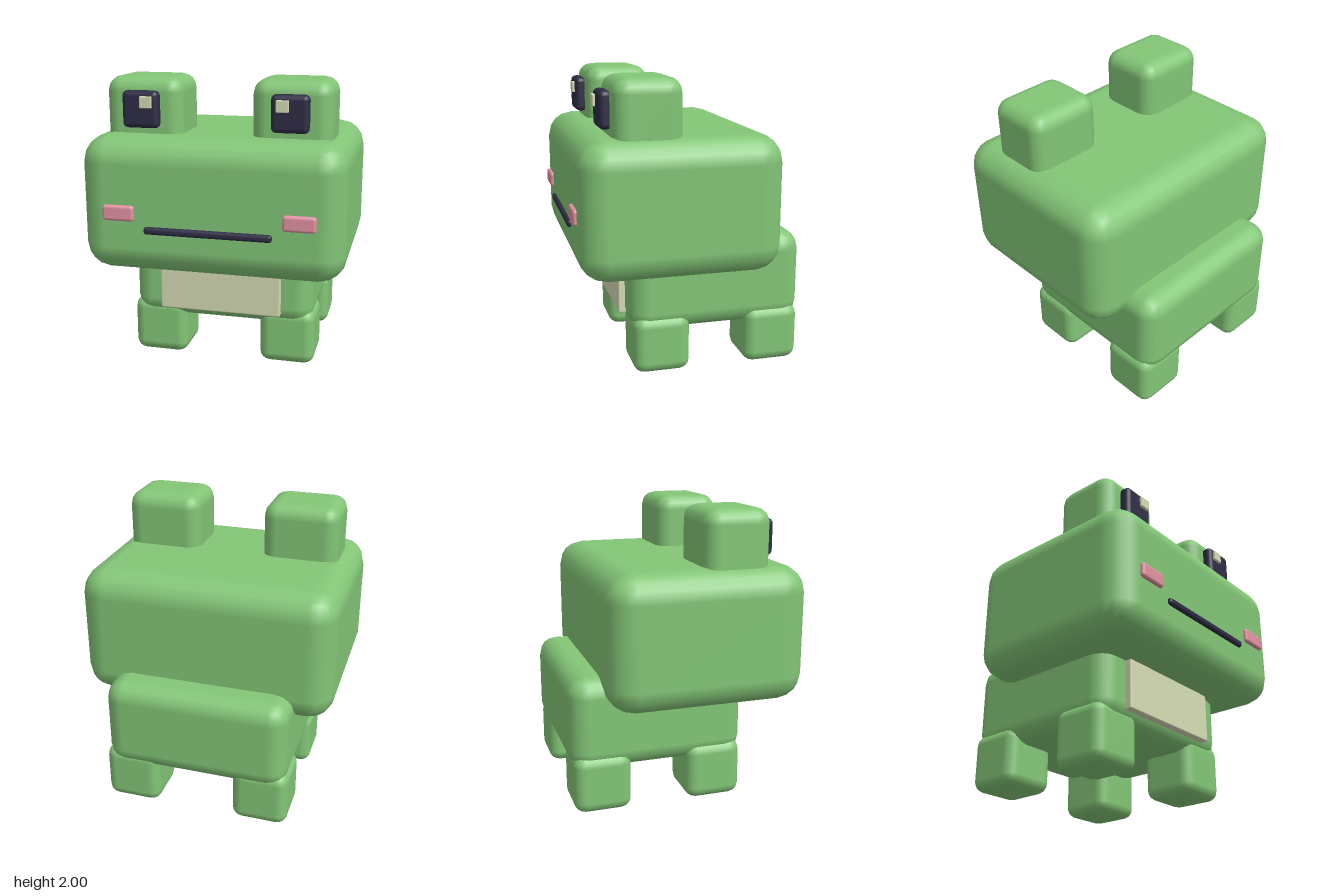
import * as THREE from 'three';
import { RoundedBoxGeometry } from 'three/addons/geometries/RoundedBoxGeometry.js';

export function createModel() {
  const model = new THREE.Group();
  model.name = 'blockFrog';

  const material = (name, color) => {
    const m = new THREE.MeshStandardMaterial({ color });
    m.name = name;
    return m;
  };
  const green = material('skinGreen', 0x83c677);
  const cream = material('bellyCream', 0xd6dcb4);
  const dark = material('darkNavy', 0x2f2d45);
  const pink = material('cheekPink', 0xe493a3);

  // Rounded block given by its extents along each axis
  function block(name, mat, [x0, x1], [y0, y1], [z0, z1], radius, segments = 2) {
    const geometry = new RoundedBoxGeometry(x1 - x0, y1 - y0, z1 - z0, segments, radius);
    const mesh = new THREE.Mesh(geometry, mat);
    mesh.name = name;
    mesh.position.set((x0 + x1) / 2, (y0 + y1) / 2, (z0 + z1) / 2);
    model.add(mesh);
  }

  // The same block on the left (+x) and the right (-x)
  function pair(name, mat, [x0, x1], y, z, radius, segments) {
    block('left' + name, mat, [x0, x1], y, z, radius, segments);
    block('right' + name, mat, [-x1, -x0], y, z, radius, segments);
  }

  // Body and belly
  block('body', green, [-0.64, 0.64], [0.29, 0.925], [-0.795, 0.41], 0.13);
  block('belly', cream, [-0.425, 0.425], [0.375, 0.83], [0.35, 0.455], 0.01);

  // Head and mouth
  block('head', green, [-0.885, 0.885], [0.715, 1.63], [-0.58, 0.765], 0.18);
  block('mouth', dark, [-0.425, 0.425], [1.005, 1.055], [0.735, 0.79], 0.02);

  // Cheeks
  pair('Cheek', pink, [0.49, 0.705], [1.085, 1.19], [0.72, 0.79], 0.02);

  // Eyes: raised block, pupil and highlight
  pair('EyeBlock', green, [0.23, 0.76], [1.47, 2.0], [0.075, 0.53], 0.1);
  pair('Pupil', dark, [0.37, 0.618], [1.67, 1.915], [0.51, 0.597], 0.035);
  pair('EyeHighlight', cream, [0.408, 0.49], [1.805, 1.882], [0.56, 0.616], 0.006);

  // Legs
  pair('FrontLeg', green, [0.265, 0.655], [0, 0.4], [0, 0.39], 0.075);
  pair('BackLeg', green, [0.265, 0.655], [0, 0.4], [-0.777, -0.387], 0.075);

  return model;
}
